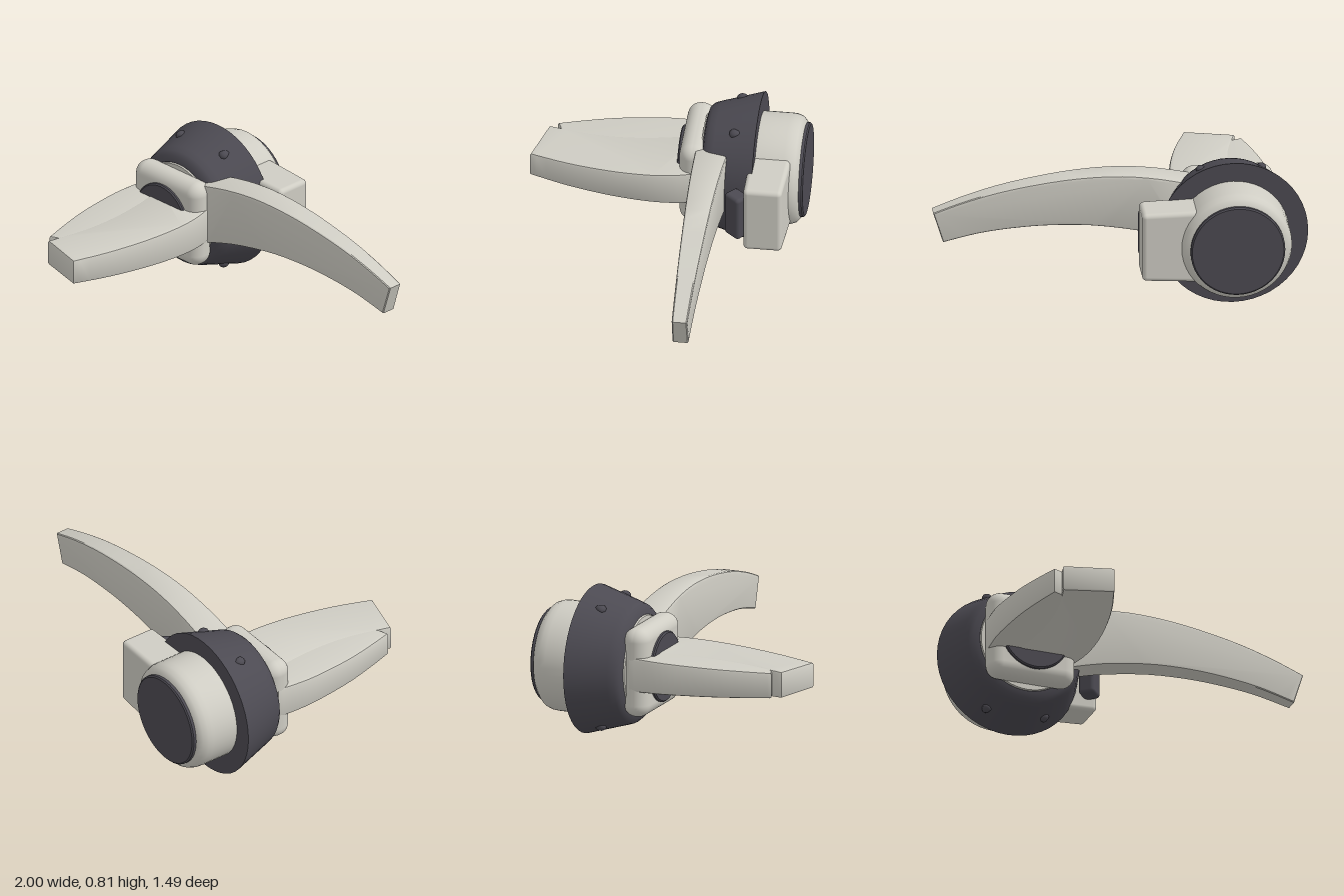
import * as THREE from 'three';
import { toCreasedNormals } from 'three/addons/utils/BufferGeometryUtils.js';
import { RoundedBoxGeometry } from 'three/addons/geometries/RoundedBoxGeometry.js';

const CX = -0.597, CY = 0.407; // hub axis, running along z

export function createModel() {
  const model = new THREE.Group();
  model.name = 'hingedBladeHub';
  const light = new THREE.MeshStandardMaterial({ color: 0xcfcdc4 });
  light.name = 'warmGrey';
  const dark = new THREE.MeshStandardMaterial({ color: 0x4c4a52 });
  dark.name = 'charcoal';

  const add = (name, geo, mat, x = 0, y = 0, z = 0) => {
    const mesh = new THREE.Mesh(geo, mat);
    mesh.name = name;
    mesh.position.set(x, y, z);
    model.add(mesh);
    return mesh;
  };
  // Turned part around the hub axis: points are [radius, z], back to front
  const turned = (name, pts, mat) => {
    const geo = new THREE.LatheGeometry(pts.map(p => new THREE.Vector2(...p)), 48);
    geo.rotateX(Math.PI / 2);
    return add(name, toCreasedNormals(geo, 0.6), mat, CX, CY, 0);
  };
  // Moves every vertex by a rule
  const warp = (geo, rule) => {
    const p = geo.attributes.position, v = new THREE.Vector3();
    for (let i = 0; i < p.count; i++) {
      v.fromBufferAttribute(p, i);
      rule(v);
      p.setXYZ(i, v.x, v.y, v.z);
    }
    return geo;
  };
  // Bevelled plate between two curved edges, one unit thick across z
  const bladePlate = (edgeA, edgeB) => {
    const curve = pts => new THREE.SplineCurve(pts.map(p => new THREE.Vector2(...p))).getPoints(20);
    const geo = new THREE.ExtrudeGeometry(new THREE.Shape([...curve(edgeA), ...curve(edgeB)]), {
      depth: 0.84, bevelEnabled: true, bevelThickness: 0.08,
      bevelSize: 0.014, bevelOffset: -0.014, bevelSegments: 2,
    });
    return geo.translate(0, 0, -0.42);
  };

  // Hub body, back cap and skirt
  turned('hubBody', [[0, -0.728], [0.235, -0.728], [0.265, -0.72], [0.287, -0.7], [0.298, -0.67],
    [0.3, -0.64], [0.3, -0.28], [0.275, -0.21], [0.265, -0.185], [0, -0.185]], light);
  turned('backCap', [[0, -0.745], [0.247, -0.745], [0.255, -0.738], [0.255, -0.715], [0, -0.715]], dark);
  turned('skirt', [[0.295, -0.485], [0.404, -0.485], [0.337, -0.26], [0.325, -0.225],
    [0.305, -0.203], [0.27, -0.193], [0.262, -0.2]], dark);

  // Four small studs on the skirt
  for (const sx of [-1, 1]) for (const sy of [-1, 1]) {
    const stud = warp(new THREE.SphereGeometry(0.032, 10, 8), v => { v.x *= 0.75 + v.z * 10; });
    const mesh = add('skirtStud', stud, dark, CX + sx * 0.165, CY + sy * 0.325, -0.37);
    mesh.rotation.z = -sx * sy * 0.47;
    mesh.scale.y = 0.75;
  }

  // Front housing with its round cap
  add('frontHousing', new RoundedBoxGeometry(0.495, 0.49, 0.15, 5, 0.07), light, CX, CY + 0.003, -0.147);
  turned('frontCap', [[0, -0.085], [0.192, -0.085], [0.192, -0.062], [0.185, -0.055], [0, -0.055]], dark);

  // Long curved blade reaching to the left side
  const longBlade = bladePlate(
    [[-0.42, 0.63], [-0.2, 0.675], [0.03, 0.695], [0.3, 0.68], [0.6, 0.63], [0.82, 0.57], [1.0, 0.505]],
    [[0.947, 0.335], [0.75, 0.382], [0.55, 0.407], [0.35, 0.416], [0.12, 0.405], [-0.15, 0.36], [-0.38, 0.295]]);
  warp(longBlade, v => { v.z *= 0.18 - (v.x + 0.4) * 0.068; });
  add('longBlade', toCreasedNormals(longBlade, 0.5), light, 0, 0, -0.25);

  // Two overlapping blades reaching forward; edges are [x, z]
  const forwardBlade = (name, edgeA, edgeB, thickness) => {
    const geo = bladePlate(edgeA, edgeB).rotateX(Math.PI / 2);
    warp(geo, v => { v.y *= thickness - (v.z + 0.16) * 0.062; });
    add(name, toCreasedNormals(geo, 0.5), light, 0, 0.41, 0);
  };
  forwardBlade('leftForwardBlade',
    [[-0.35, -0.17], [-0.322, -0.05], [-0.315, 0.1], [-0.335, 0.3], [-0.385, 0.53], [-0.455, 0.742]],
    [[-0.722, 0.67], [-0.67, 0.45], [-0.655, 0.25], [-0.67, 0.05], [-0.7, -0.1], [-0.72, -0.17]], 0.197);
  forwardBlade('rightForwardBlade',
    [[-0.843, -0.17], [-0.857, 0], [-0.85, 0.15], [-0.828, 0.33], [-0.79, 0.5], [-0.755, 0.627]],
    [[-0.59, 0.56], [-0.565, 0.35], [-0.56, 0.1], [-0.57, -0.17]], 0.191);

  // Side block, narrowing slightly outward, with a dark angled pad
  const block = new RoundedBoxGeometry(0.34, 0.4, 0.216, 4, 0.025);
  warp(block, v => {
    v.y *= 1 - v.x * 0.2;
    if (v.z < 0) v.z *= 1 - v.x * 0.5;
  });
  add('sideBlock', block, light, -0.26, 0.41, -0.563);
  const pad = add('sidePad', new RoundedBoxGeometry(0.11, 0.262, 0.09, 3, 0.02), dark, -0.153, 0.406, -0.414);
  pad.rotation.y = 0.85;

  return model;
}
